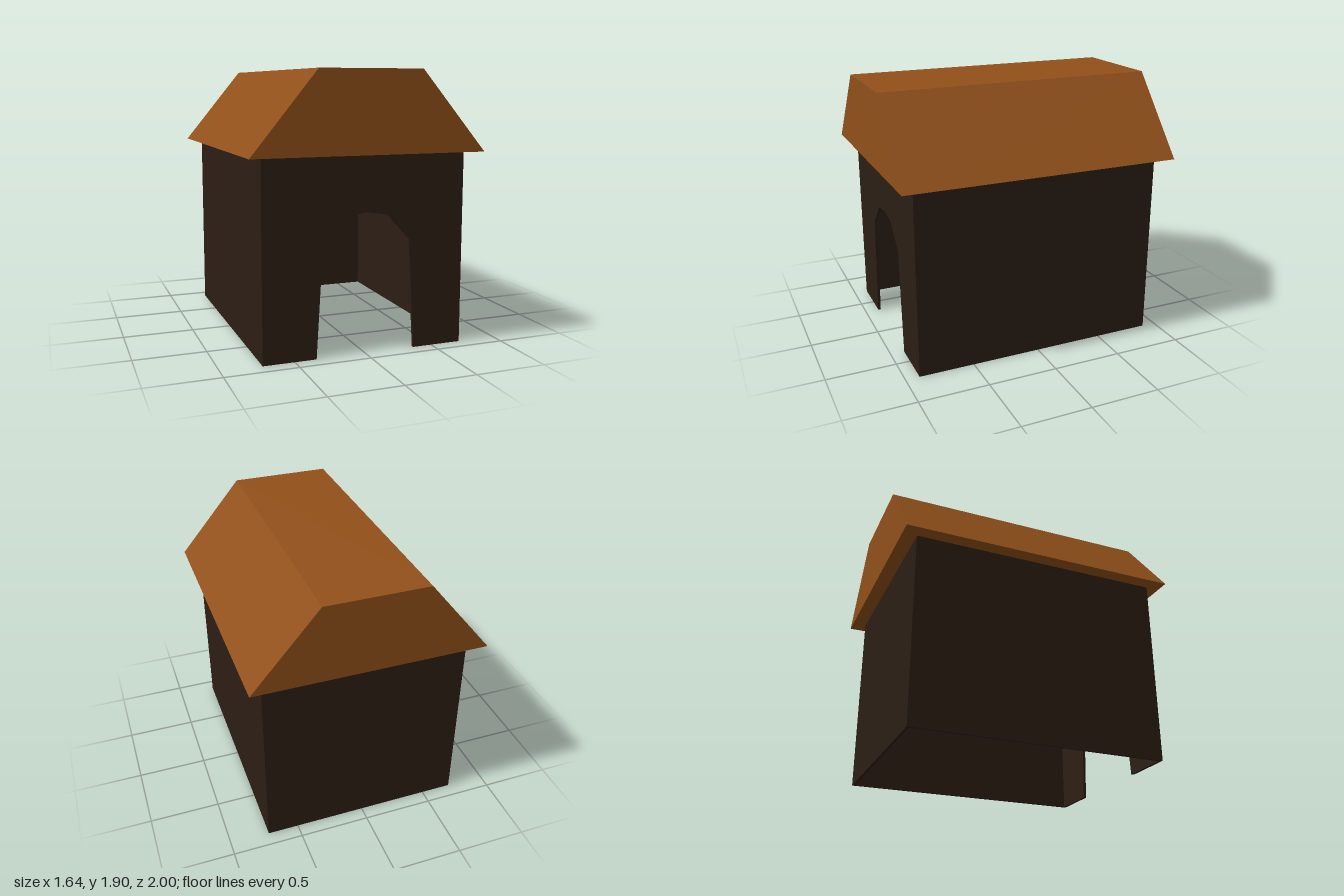
import * as THREE from 'three';

const W = 0.72, D = 0.9, H = 1.35, T = 0.02; // half width, half depth, wall height, wall thickness

function polygon(points) {
  return new THREE.Shape(points.map(([x, y]) => new THREE.Vector2(x, y)));
}

function extrude(name, points, depth, material) {
  const geometry = new THREE.ExtrudeGeometry(polygon(points), { depth, bevelEnabled: false });
  const mesh = new THREE.Mesh(geometry, material);
  mesh.name = name;
  return mesh;
}

export function createModel() {
  const model = new THREE.Group();
  model.name = 'kennel';
  const wallMaterial = new THREE.MeshStandardMaterial({ color: 0x2c1e14, flatShading: true });
  const roofMaterial = new THREE.MeshStandardMaterial({ color: 0x91501a, flatShading: true });

  // Side and back walls: one U-shaped plan raised to the eaves, open below
  const f = D - T;
  const walls = extrude('sideAndBackWalls', [
    [-W, -f], [-W + T, -f], [-W + T, D - T], [W - T, D - T], [W - T, -f], [W, -f], [W, D], [-W, D],
  ], H, wallMaterial);
  walls.rotation.x = -Math.PI / 2;

  // Front wall with the arched doorway cut up from the ground
  const front = extrude('frontWall', [
    [-W, 0], [-0.35, 0], [-0.305, 0.77], [-0.15, 0.94], [0, 0.965], [0.16, 0.94],
    [0.315, 0.77], [0.36, 0], [W, 0], [W, H], [-W, H],
  ], T, wallMaterial);
  front.position.z = D - T;

  // Flat-topped roof overhanging on all sides
  const roof = extrude('roof', [[-0.82, H], [0.82, H], [0.35, 1.9], [-0.37, 1.9]], 2, roofMaterial);
  roof.position.z = -1;

  model.add(walls, front, roof);
  return model;
}
